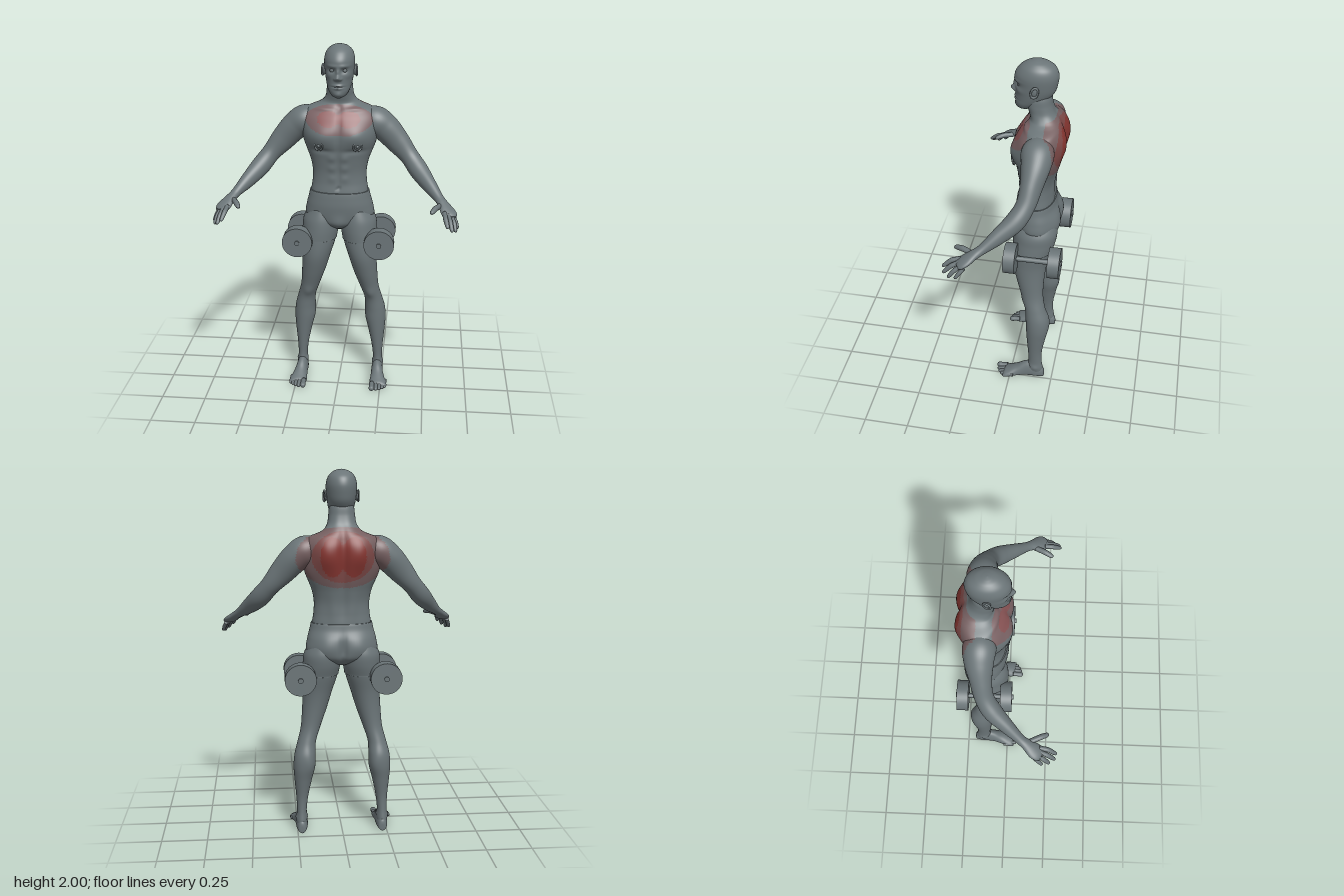
import * as THREE from 'three';

const mat = (name, color) => {
  const m = new THREE.MeshStandardMaterial({ color });
  m.name = name;
  return m;
};

// Catmull-Rom interpolation of every column of a table of sections
function sample(rows, t) {
  const n = rows.length - 1, f = Math.min(Math.max(t, 0), 1) * n;
  const i = Math.min(Math.floor(f), n - 1), u = f - i;
  const a = rows[Math.max(i - 1, 0)], b = rows[i], c = rows[i + 1], d = rows[Math.min(i + 2, n)];
  return b.map((v, k) => v + 0.5 * u * (c[k] - a[k] + u * (2 * a[k] - 5 * v + 4 * c[k] - d[k]
    + u * (3 * (v - c[k]) + d[k] - a[k]))));
}

// Closed skin over rings; place(section, cos, sin, t) gives a point of a ring
function loft(rows, place, ns = 48, nt = 80) {
  const pos = [], idx = [];
  for (let i = 0; i <= nt; i++) {
    const r = sample(rows, i / nt);
    for (let j = 0; j < ns; j++) {
      const a = (j / ns) * Math.PI * 2;
      pos.push(...place(r, Math.cos(a), Math.sin(a), i / nt));
    }
  }
  for (let i = 0; i < nt; i++) for (let j = 0; j < ns; j++) {
    const k = (j + 1) % ns, a = i * ns + j, b = i * ns + k;
    idx.push(a, b, a + ns, b, b + ns, a + ns);
  }
  for (const ring of [0, nt]) {
    const c = [0, 0, 0], e = pos.length / 3;
    for (let j = 0; j < ns; j++) for (let k = 0; k < 3; k++) c[k] += pos[(ring * ns + j) * 3 + k] / ns;
    pos.push(...c);
    for (let j = 0; j < ns; j++) {
      const a = ring * ns + j, b = ring * ns + (j + 1) % ns;
      idx.push(...(ring ? [e, a, b] : [e, b, a]));
    }
  }
  // turn the faces outward
  const P = (i) => new THREE.Vector3().fromArray(pos, i * 3);
  let volume = 0;
  for (let i = 0; i < idx.length; i += 3) volume += P(idx[i]).dot(P(idx[i + 1]).cross(P(idx[i + 2])));
  if (volume < 0) idx.reverse();
  const g = new THREE.BufferGeometry();
  g.setAttribute('position', new THREE.Float32BufferAttribute(pos, 3));
  g.setIndex(idx);
  g.computeVertexNormals();
  return g;
}

// Sections stacked in y: [x, y, halfWidth, zFront, zBack]
const stack = (rows, ns, nt, p = 1) => loft(rows, ([x, y, w, f, b], c, s) => {
  const q = (v) => Math.sign(v) * Math.abs(v) ** p;
  return [x + Math.max(w, 0.0005) * q(c), y, (f + b) / 2 + ((f - b) / 2) * q(s)];
}, ns, nt);

// Sections along a path: [x, y, z, halfWidth, halfThickness]
const limb = (rows, ns, nt) => loft(rows, (r, c, s, t) => {
  const v = (q) => new THREE.Vector3(...sample(rows, q).slice(0, 3));
  const T = v(t + 0.01).sub(v(t - 0.01)).normalize();
  const A = T.clone().cross(new THREE.Vector3(0, 1, 0)).normalize();
  const B = A.clone().cross(T);
  return new THREE.Vector3(r[0], r[1], r[2]).addScaledVector(A, r[3] * c).addScaledVector(B, r[4] * s).toArray();
}, ns, nt);

// Soft symmetric bumps along the normals: [x, y, z, rx, ry, rz, height]
function sculpt(g, bumps) {
  const p = g.attributes.position, n = g.attributes.normal;
  for (let i = 0; i < p.count; i++) {
    const x = p.getX(i), y = p.getY(i), z = p.getZ(i);
    let h = 0;
    for (const [bx, by, bz, rx, ry, rz, k] of bumps) {
      h += k * Math.exp(-(((Math.abs(x) - bx) / rx) ** 2) - ((y - by) / ry) ** 2 - ((z - bz) / rz) ** 2);
    }
    p.setXYZ(i, x + n.getX(i) * h, y + n.getY(i) * h, z + n.getZ(i) * h);
  }
  g.computeVertexNormals();
  return g;
}

// Muscle colour zones: 0 skin, 1-2 chest, 3-5 back
function zone(x, y, z) {
  const oval = (u, v, ru, rv) => (u / ru) ** 2 + (v / rv) ** 2;
  if (z > -0.1) {
    if (oval(x - 0.055, y - 1.605, 0.062, 0.04) < 1) return 2;
    return oval(x, y - 1.6, 0.185, 0.078) < 1 ? 1 : 0;
  }
  if (z > -0.16) return 0;
  if (oval(x - 0.055, y - 1.55, 0.065, 0.105) < 1) return 5;
  if (oval(x, y - 1.55, 0.165, 0.135) < 1) return 4;
  return oval(x, y - 1.545, 0.25, 0.16) < 1 ? 3 : 0;
}

// Sort triangles into one geometry group per zone
function paint(g) {
  const p = g.attributes.position, id = g.index.array, bins = [[], [], [], [], [], []];
  for (let i = 0; i < id.length; i += 3) {
    const t = [id[i], id[i + 1], id[i + 2]];
    const m = (f) => t.reduce((s, v) => s + f(v), 0) / 3;
    bins[zone(Math.abs(m((v) => p.getX(v))), m((v) => p.getY(v)), m((v) => p.getZ(v)))].push(...t);
  }
  g.setIndex(bins.flat());
  let start = 0;
  bins.forEach((b, k) => { if (b.length) g.addGroup(start, b.length, k); start += b.length; });
  return g;
}

function mirrored(g) {
  const m = g.clone().scale(-1, 1, 1), a = m.index.array;
  for (let i = 0; i < a.length; i += 3) [a[i], a[i + 1]] = [a[i + 1], a[i]];
  return m;
}

export function createModel() {
  const model = new THREE.Group();
  const skin = mat('grey skin', 0x6b7578);
  const zones = [skin, mat('pale chest red', 0x7c6466), mat('chest red', 0x8c5657),
    mat('faint back red', 0x755f60), mat('back red', 0x7f4a48), mat('deep back red', 0x863631)];
  const add = (name, g, m = skin) => {
    const mesh = new THREE.Mesh(g, m);
    mesh.name = name;
    model.add(mesh);
  };
  const pair = (name, g, m = skin) => { add('left ' + name, g, m); add('right ' + name, mirrored(g), m); };

  // Torso and neck, with pecs, abs, collarbones, shoulder blades and spine
  const torso = stack([
    [0, 1.14, 0.152, -0.02, -0.205], [0, 1.18, 0.16, -0.012, -0.21], [0, 1.24, 0.152, -0.018, -0.206],
    [0, 1.3, 0.15, -0.018, -0.207], [0, 1.36, 0.16, -0.01, -0.22], [0, 1.42, 0.18, 0, -0.238],
    [0, 1.48, 0.2, 0.012, -0.25], [0, 1.54, 0.21, 0.01, -0.257], [0, 1.6, 0.213, -0.014, -0.256],
    [0, 1.645, 0.185, -0.045, -0.245], [0, 1.672, 0.122, -0.065, -0.234], [0, 1.69, 0.095, -0.07, -0.222],
    [0, 1.72, 0.077, -0.062, -0.2], [0, 1.76, 0.071, -0.05, -0.186], [0, 1.8, 0.066, -0.05, -0.18],
    [0, 1.84, 0.05, -0.07, -0.17]], 112, 136, 0.87);
  sculpt(torso, [
    [0.09, 1.51, 0, 0.065, 0.05, 0.07, 0.016], [0, 1.53, 0, 0.014, 0.09, 0.07, -0.008],
    [0.09, 1.43, 0, 0.06, 0.014, 0.07, -0.006], [0, 1.32, 0, 0.008, 0.11, 0.07, -0.006],
    [0.035, 1.39, 0, 0.022, 0.022, 0.06, 0.006], [0.035, 1.33, 0, 0.022, 0.022, 0.06, 0.006],
    [0.035, 1.27, 0, 0.022, 0.022, 0.06, 0.005], [0, 1.215, 0, 0.008, 0.01, 0.06, -0.012],
    [0.09, 1.652, -0.06, 0.05, 0.009, 0.05, 0.006], [0, 1.655, -0.06, 0.016, 0.02, 0.04, -0.008],
    [0.085, 1.56, -0.25, 0.055, 0.08, 0.06, 0.018], [0, 1.5, -0.25, 0.022, 0.2, 0.06, -0.016],
    [0.05, 1.28, -0.21, 0.03, 0.09, 0.05, 0.007], [0.19, 1.46, -0.17, 0.04, 0.07, 0.06, 0.007]]);
  // Nipples sit on the nearest point of the chest
  const tp = torso.attributes.position, spot = new THREE.Vector3();
  let best = 1;
  for (let i = 0; i < tp.count; i++) {
    const d = Math.hypot(tp.getX(i) - 0.11, tp.getY(i) - 1.465);
    if (tp.getZ(i) > -0.1 && d < best) { best = d; spot.fromBufferAttribute(tp, i); }
  }
  const onChest = (g) => g.rotateY(0.45).translate(spot.x, spot.y, spot.z);
  pair('areola', onChest(new THREE.TorusGeometry(0.024, 0.005, 10, 28)));
  pair('nipple', onChest(new THREE.SphereGeometry(0.009, 14, 10)));
  add('torso', paint(torso), zones);

  // Head with sculpted face
  const head = stack([
    [0, 1.722, 0.012, -0.015, -0.05], [0, 1.735, 0.038, 0, -0.085], [0, 1.76, 0.056, 0.008, -0.125],
    [0, 1.79, 0.067, 0.007, -0.165], [0, 1.83, 0.075, 0.008, -0.195], [0, 1.87, 0.08, 0.008, -0.207],
    [0, 1.92, 0.082, 0.011, -0.212], [0, 1.96, 0.071, -0.012, -0.197], [0, 1.985, 0.048, -0.045, -0.163],
    [0, 1.996, 0.024, -0.077, -0.127], [0, 2, 0.001, -0.1, -0.102]], 96, 120);
  add('head', sculpt(head, [
    [0.033, 1.872, 0, 0.016, 0.012, 0.05, -0.012], [0.03, 1.896, 0, 0.03, 0.009, 0.05, 0.005],
    [0, 1.836, 0.01, 0.012, 0.014, 0.06, 0.024], [0, 1.865, 0.01, 0.009, 0.02, 0.06, 0.011],
    [0.014, 1.829, 0.01, 0.008, 0.008, 0.05, 0.008], [0, 1.794, 0, 0.024, 0.006, 0.05, 0.007],
    [0, 1.778, 0, 0.02, 0.006, 0.05, 0.007], [0, 1.786, 0, 0.028, 0.003, 0.05, -0.004],
    [0.05, 1.845, -0.02, 0.018, 0.018, 0.05, 0.004], [0, 1.746, 0, 0.02, 0.013, 0.05, 0.006]]));
  pair('eye', new THREE.SphereGeometry(0.013, 20, 14).translate(0.033, 1.872, -0.019));
  pair('ear', new THREE.SphereGeometry(1, 20, 14).scale(0.011, 0.028, 0.018).rotateX(-0.2).translate(0.083, 1.86, -0.1));
  pair('ear rim', new THREE.TorusGeometry(0.018, 0.005, 10, 24).rotateY(Math.PI / 2).scale(1, 1.5, 1)
    .rotateX(-0.2).rotateY(0.25).translate(0.09, 1.86, -0.102));

  // Arm running into the palm
  pair('arm', paint(limb([
    [0.1, 1.595, -0.14, 0.05, 0.045], [0.185, 1.578, -0.14, 0.084, 0.08], [0.25, 1.535, -0.14, 0.076, 0.077],
    [0.32, 1.46, -0.13, 0.058, 0.067], [0.385, 1.385, -0.112, 0.05, 0.052], [0.44, 1.318, -0.068, 0.051, 0.053],
    [0.5, 1.258, 0.008, 0.038, 0.042], [0.55, 1.212, 0.075, 0.027, 0.026], [0.575, 1.19, 0.115, 0.031, 0.021],
    [0.598, 1.167, 0.152, 0.042, 0.019], [0.611, 1.152, 0.177, 0.041, 0.016],
    [0.618, 1.143, 0.192, 0.03, 0.01]], 48, 100)), zones);

  // Fingers and thumb: knuckle, middle joint, tip, radius
  const digits = {
    'index finger': [[0.582, 1.164, 0.178], [0.588, 1.148, 0.228], [0.6, 1.115, 0.27], 0.0125],
    'middle finger': [[0.602, 1.155, 0.182], [0.613, 1.13, 0.227], [0.624, 1.094, 0.264], 0.0125],
    'ring finger': [[0.62, 1.146, 0.172], [0.634, 1.117, 0.208], [0.643, 1.083, 0.235], 0.012],
    'little finger': [[0.633, 1.14, 0.155], [0.645, 1.113, 0.18], [0.653, 1.088, 0.198], 0.0105],
    thumb: [[0.562, 1.185, 0.12], [0.532, 1.187, 0.185], [0.513, 1.176, 0.224], 0.0145]
  };
  const mix = (a, b, t) => a.map((v, k) => v + (b[k] - v) * t);
  for (const [name, [a, b, c, r]] of Object.entries(digits)) {
    pair(name, limb([[...a, r, r], [...mix(a, b, 0.5), r, r], [...b, r * 1.05, r], [...mix(b, c, 0.7), r * 0.9, r * 0.85],
      [...c, r * 0.65, r * 0.6], [...mix(b, c, 1.1), r * 0.15, r * 0.15]], 16, 20));
  }

  // Shorts: seat with cleft, and snug legs ending in a hem
  const seat = stack([
    [0, 0.95, 0.02, -0.09, -0.15], [0, 0.968, 0.065, -0.055, -0.2], [0, 1, 0.16, -0.02, -0.235],
    [0, 1.04, 0.194, -0.008, -0.243], [0, 1.1, 0.187, 0, -0.24], [0, 1.15, 0.174, -0.001, -0.224],
    [0, 1.183, 0.167, -0.004, -0.218], [0, 1.187, 0.163, -0.008, -0.213], [0, 1.188, 0.14, -0.03, -0.19]], 80, 64, 0.92);
  add('shorts', sculpt(seat, [[0.085, 1.06, -0.24, 0.06, 0.06, 0.06, 0.014], [0, 1.04, -0.24, 0.014, 0.07, 0.06, -0.022],
    [0, 1.01, -0.01, 0.04, 0.04, 0.04, 0.012]]));
  pair('shorts leg', stack([
    [0.1, 1.08, 0.07, -0.02, -0.225], [0.106, 1.02, 0.099, -0.004, -0.241], [0.11, 0.96, 0.103, 0.002, -0.235],
    [0.118, 0.905, 0.102, 0.003, -0.219], [0.118, 0.9, 0.101, 0.002, -0.218], [0.118, 0.9, 0.09, -0.01, -0.205]], 48, 30));

  // Leg: thigh, knee, calf, ankle
  pair('leg', sculpt(stack([
    [0.11, 0.98, 0.09, -0.01, -0.225], [0.118, 0.9, 0.097, -0.001, -0.214], [0.132, 0.8, 0.081, -0.001, -0.192],
    [0.15, 0.7, 0.068, -0.024, -0.181], [0.172, 0.6, 0.054, -0.055, -0.18], [0.195, 0.52, 0.051, -0.08, -0.196],
    [0.206, 0.45, 0.058, -0.087, -0.219], [0.21, 0.38, 0.06, -0.09, -0.221], [0.217, 0.3, 0.048, -0.096, -0.205],
    [0.223, 0.2, 0.033, -0.105, -0.188], [0.226, 0.12, 0.027, -0.11, -0.188], [0.227, 0.06, 0.03, -0.1, -0.195],
    [0.227, 0.03, 0.025, -0.11, -0.185]], 48, 84), [
    [0.18, 0.56, -0.06, 0.025, 0.03, 0.03, 0.007], [0.18, 0.41, -0.21, 0.025, 0.06, 0.04, 0.006],
    [0.2, 0.085, -0.14, 0.012, 0.014, 0.02, 0.006], [0.253, 0.08, -0.15, 0.012, 0.014, 0.02, 0.006]]));

  // Foot with a flat sole: [z, x, halfWidth, height]
  pair('foot', loft([
    [-0.203, 0.226, 0.008, 0.04], [-0.195, 0.226, 0.022, 0.065], [-0.16, 0.226, 0.031, 0.09], [-0.12, 0.226, 0.034, 0.108],
    [-0.08, 0.228, 0.036, 0.095], [-0.04, 0.232, 0.042, 0.068], [0, 0.237, 0.05, 0.047], [0.028, 0.24, 0.049, 0.033],
    [0.042, 0.24, 0.042, 0.018]], ([z, x, w, h], c, s) => [x + w * c, h * (0.3 + (s > 0 ? 0.7 : 0.3) * s), z], 36, 40));
  const toes = [[0.203, 0.086, 0.016], [0.228, 0.08, 0.0115], [0.247, 0.071, 0.011], [0.264, 0.058, 0.0105], [0.279, 0.042, 0.01]];
  toes.forEach(([x, tip, r], i) => pair('toe ' + (i + 1), limb([
    [x, 0.02, tip - 0.065, r, r], [x, 0.019, tip - 0.04, r * 0.9, r * 0.9], [x, r, tip - 0.016, r, r],
    [x, r, tip - 0.004, r * 0.75, r * 0.7], [x, r, tip, r * 0.15, r * 0.15]], 14, 16)));

  // Dumbbells beside the thighs
  const rod = (r, from, to, n) => new THREE.CylinderGeometry(r, r, to - from, n).rotateX(Math.PI / 2)
    .translate(0.23, 0.9, (from + to) / 2);
  pair('dumbbell front plate', rod(0.085, -0.038, 0.026, 48));
  pair('dumbbell back plate', rod(0.085, -0.28, -0.216, 48));
  pair('dumbbell handle', rod(0.014, -0.288, 0.034, 20));
  return model;
}
